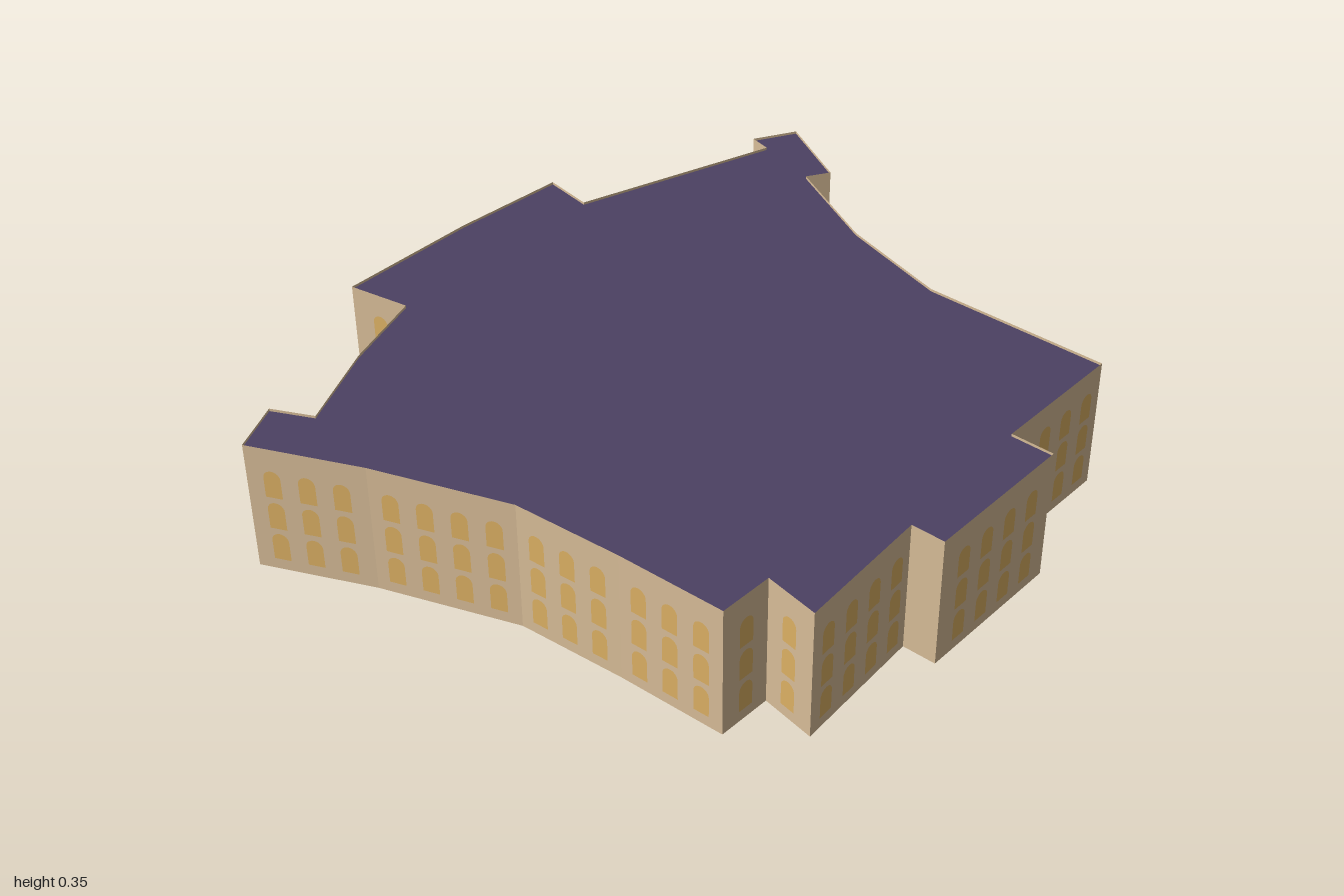
import * as THREE from 'three';
import { mergeGeometries } from 'three/addons/utils/BufferGeometryUtils.js';

const HEIGHT = 0.35;
const ROOF_Y = 0.343;
const BAY = 0.085;                      // distance between window columns
const ROWS = [0.032, 0.123, 0.214];     // window sill heights

// Floor plan corners (x, z), running so that the outside lies on the right hand of -x to +x front walls
const PLAN = [
  [0.114, -0.998], [0.003, -0.94], [0.045, -0.897], [-0.394, -0.542], [-0.495, -0.632],
  [-0.68, -0.384], [-0.886, -0.064], [-0.733, -0.002], [-0.79, 0.22], [-0.823, 0.468],
  [-0.936, 0.456], [-0.955, 0.597], [-0.659, 0.638], [-0.304, 0.717], [-0.055, 0.85],
  [0.188, 0.992], [0.267, 0.876], [0.373, 0.971], [0.548, 0.66], [0.622, 0.706],
  [0.844, 0.365], [0.749, 0.305], [0.95, -0.002], [0.532, -0.262], [0.325, -0.495],
  [0.167, -0.76], [0.23, -0.79],
];

// Arched window pane standing on its sill
function windowGeometry() {
  const r = 0.021, straight = 0.055;
  const s = new THREE.Shape();
  s.moveTo(-r, 0);
  s.lineTo(r, 0);
  s.lineTo(r, straight);
  s.absarc(0, straight, r, 0, Math.PI, false);
  s.closePath();
  return new THREE.ShapeGeometry(s, 6);
}

export function createModel() {
  const wallMat = new THREE.MeshStandardMaterial({ color: 0xd8bd98, side: THREE.DoubleSide });
  wallMat.name = 'sandstone';
  const windowMat = new THREE.MeshStandardMaterial({ color: 0xddb164 });
  windowMat.name = 'amber glass';
  const roofMat = new THREE.MeshStandardMaterial({ color: 0x4c4163, side: THREE.DoubleSide });
  roofMat.name = 'purple slate';

  const building = new THREE.Group();
  building.name = 'building';
  const pane = windowGeometry();

  // Walls, each with a centred grid of windows
  PLAN.forEach(([x0, z0], i) => {
    const [x1, z1] = PLAN[(i + 1) % PLAN.length];
    const dx = x1 - x0, dz = z1 - z0, length = Math.hypot(dx, dz);

    const side = new THREE.Group();
    side.name = 'wallSection';
    side.position.set((x0 + x1) / 2, 0, (z0 + z1) / 2);
    side.rotation.y = Math.atan2(-dz, dx);
    building.add(side);

    const wall = new THREE.Mesh(new THREE.PlaneGeometry(length, HEIGHT).translate(0, HEIGHT / 2, 0), wallMat);
    wall.name = 'wall';
    side.add(wall);

    const columns = length < 0.1 ? 0 : Math.max(1, Math.floor(length / 0.0885));
    if (columns === 0) return;
    const panes = [];
    for (let c = 0; c < columns; c++) {
      for (const y of ROWS) panes.push(pane.clone().translate((c - (columns - 1) / 2) * BAY, y, 0.003));
    }
    const windows = new THREE.Mesh(mergeGeometries(panes), windowMat);
    windows.name = 'windows';
    side.add(windows);
  });

  // Flat roof just below the wall tops
  const outline = new THREE.Shape(PLAN.map(([x, z]) => new THREE.Vector2(x, -z)));
  const roof = new THREE.Mesh(new THREE.ShapeGeometry(outline).rotateX(-Math.PI / 2), roofMat);
  roof.name = 'roof';
  roof.position.y = ROOF_Y;
  building.add(roof);

  return building;
}
